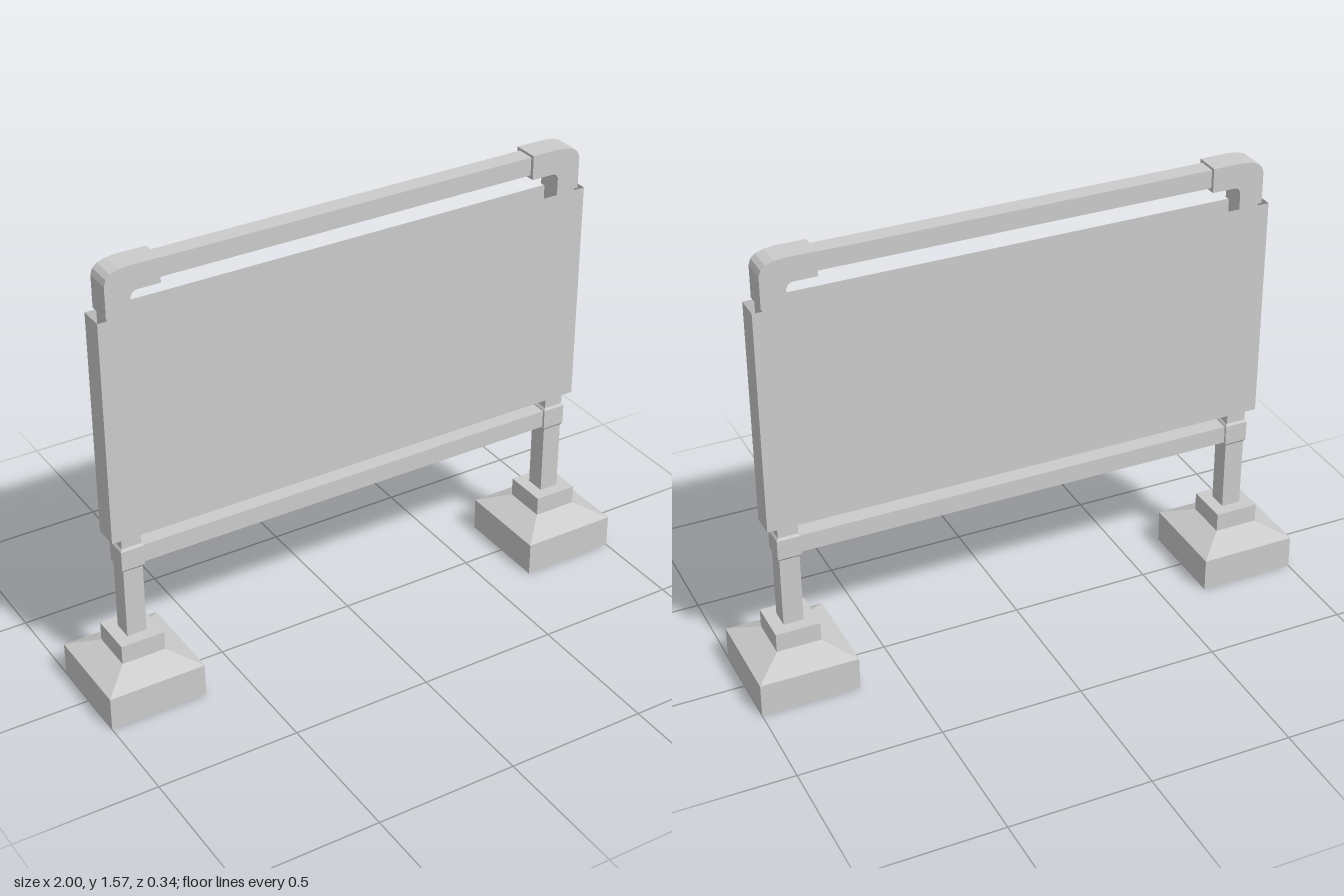
import * as THREE from 'three';

const material = new THREE.MeshStandardMaterial({ color: 0xcccccc, flatShading: true });
const sheetMaterial = new THREE.MeshStandardMaterial({ color: 0xcccccc, flatShading: true, side: THREE.DoubleSide });
const POST_X = 0.8275;

function add(parent, name, geometry, x = 0, y = 0, z = 0, mat = material) {
  const mesh = new THREE.Mesh(geometry, mat);
  mesh.name = name;
  mesh.position.set(x, y, z);
  parent.add(mesh);
  return mesh;
}

// Square solid from [halfWidth, y] rings, closed at both ends
function squareStack(rings) {
  const points = rings.map(([h, y]) => new THREE.Vector2(h * Math.SQRT2, y));
  points.unshift(new THREE.Vector2(0, rings[0][1]));
  points.push(new THREE.Vector2(0, rings[rings.length - 1][1]));
  return new THREE.LatheGeometry(points, 4, Math.PI / 4);
}

// Elbow fitting, drawn around the post axis and turning towards +x
function elbowGeometry() {
  const outline = [
    [-0.042, 1.414], [0.042, 1.414], [0.042, 1.468], [0.049, 1.481], [0.062, 1.487],
    [0.145, 1.487], [0.145, 1.572], [0.045, 1.572], [0.007, 1.568], [-0.02, 1.559],
    [-0.035, 1.545], [-0.042, 1.524],
  ].map(([x, y]) => new THREE.Vector2(x, y));
  const geometry = new THREE.ExtrudeGeometry(new THREE.Shape(outline), { depth: 0.09, bevelEnabled: false });
  return geometry.translate(0, 0, -0.045);
}

// Foot, post, collar and elbow of one side
function createSupport(name) {
  const support = new THREE.Group();
  support.name = name;
  add(support, 'foot', squareStack([
    [0.1725, 0], [0.1725, 0.12], [0.078, 0.165], [0.078, 0.233],
  ]));
  add(support, 'post', new THREE.BoxGeometry(0.07, 1.22, 0.07), 0, 0.84);
  add(support, 'collar', squareStack([
    [0.035, 0.488], [0.041, 0.496], [0.041, 0.568], [0.035, 0.576],
  ]));
  add(support, 'elbow', elbowGeometry());
  return support;
}

export function createModel() {
  const model = new THREE.Group();
  model.name = 'barrierSign';

  // Two supports, elbows turned to face each other
  const right = createSupport('rightSupport');
  right.position.x = -POST_X;
  const left = createSupport('leftSupport');
  left.position.x = POST_X;
  left.rotation.y = Math.PI;
  model.add(right, left);

  // Horizontal rails
  add(model, 'topRail', new THREE.BoxGeometry(1.38, 0.064, 0.064), 0, 1.531);
  add(model, 'lowerRail', new THREE.BoxGeometry(1.59, 0.064, 0.064), 0, 0.532);

  // Board sleeve around the posts, open at top and bottom
  const sleeve = new THREE.Group();
  sleeve.name = 'board';
  model.add(sleeve);
  for (const side of [1, -1]) {
    const face = add(sleeve, side > 0 ? 'frontSheet' : 'backSheet',
      new THREE.PlaneGeometry(1.796, 0.793), 0, 1.01, side * 0.043, sheetMaterial);
    face.rotation.y = side > 0 ? 0 : Math.PI;
    const end = add(sleeve, side > 0 ? 'leftEnd' : 'rightEnd',
      new THREE.PlaneGeometry(0.086, 0.793), side * 0.898, 1.01, 0, sheetMaterial);
    end.rotation.y = side * Math.PI / 2;
  }
  return model;
}
